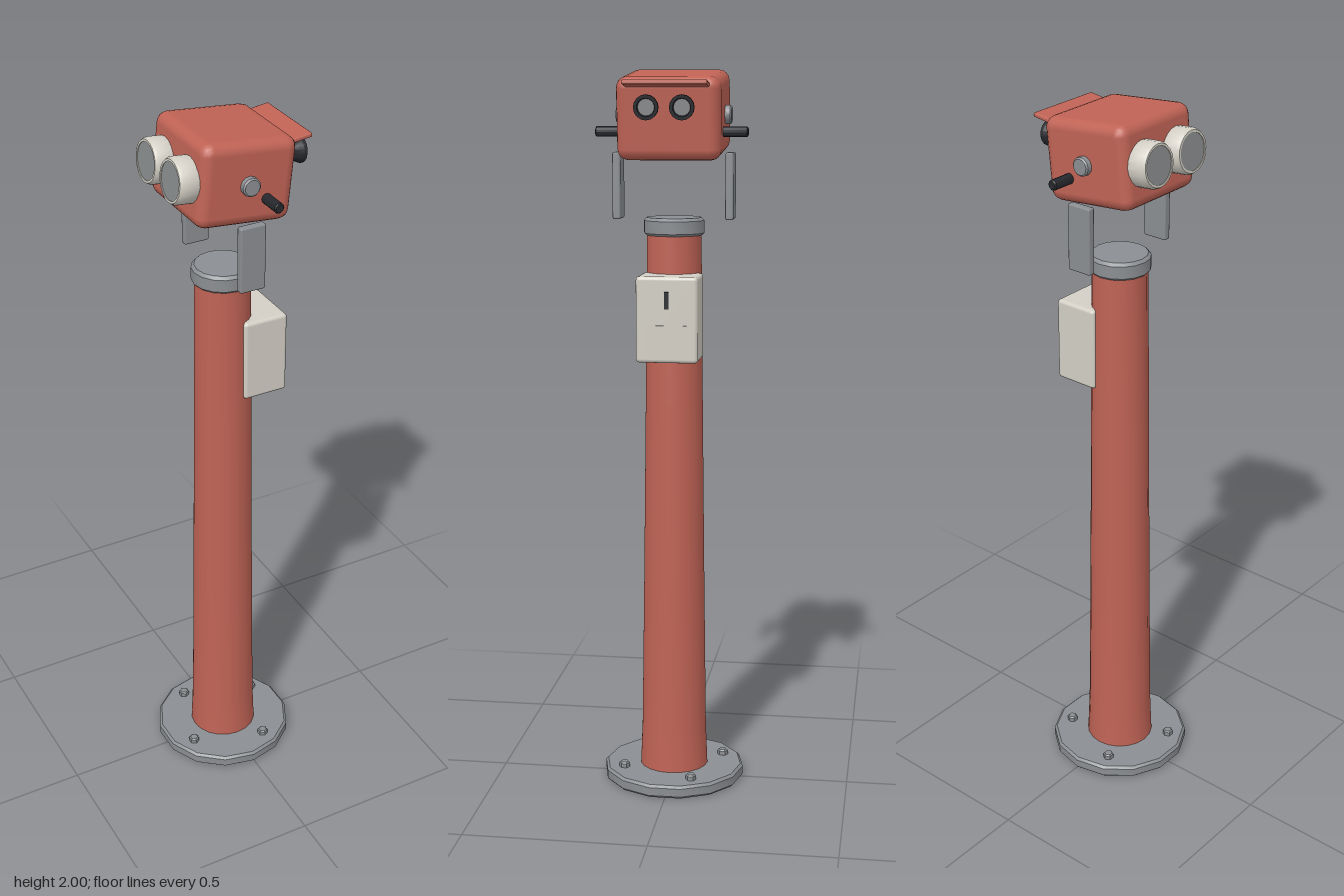
import * as THREE from 'three';
import { toCreasedNormals } from 'three/addons/utils/BufferGeometryUtils.js';
import { RoundedBoxGeometry } from 'three/addons/geometries/RoundedBoxGeometry.js';

const mat = (name, color) => {
  const m = new THREE.MeshStandardMaterial({ color });
  m.name = name;
  return m;
};

export function createModel() {
  const red = mat('red paint', 0xc06355);
  const grey = mat('grey metal', 0x8b8e92);
  const cream = mat('cream enamel', 0xd3cfc5);
  const black = mat('black rubber', 0x26282d);
  const glass = mat('lens glass', 0x8a8d8e);

  const model = new THREE.Group();
  model.name = 'coinOperatedBinoculars';

  const add = (parent, name, geometry, material, x = 0, y = 0, z = 0) => {
    const mesh = new THREE.Mesh(geometry, material);
    mesh.name = name;
    mesh.position.set(x, y, z);
    parent.add(mesh);
    return mesh;
  };
  // Turned part from [radius, height] pairs, with sharp rims
  const turned = (points, sides = 14) => toCreasedNormals(
    new THREE.LatheGeometry(points.map(([r, h]) => new THREE.Vector2(r, h)), sides), 0.55);
  const rounded = (w, h, d, r, n = 1) => new RoundedBoxGeometry(w, h, d, n, r);

  const cx = -0.004; // axis of the post

  // Floor plate with four bolts
  add(model, 'basePlate', turned([[0, 0], [0.193, 0], [0.2, 0.007], [0.2, 0.03], [0.193, 0.037], [0, 0.037]]), grey, cx);
  const bolt = turned([[0.015, 0], [0.015, 0.012], [0.011, 0.016], [0, 0.016]], 6);
  for (let i = 0; i < 4; i++) {
    const a = 1.11 + i * Math.PI / 2;
    add(model, 'baseBolt', bolt, grey, cx + 0.15 * Math.cos(a), 0.037, 0.15 * Math.sin(a));
  }

  // Tapered post and its cap
  add(model, 'post', turned([[0.097, 0.035], [0.092, 0.16], [0.086, 0.6], [0.08, 1.1], [0.075, 1.57]], 20), red, cx);
  add(model, 'postCap', turned([[0, 1.557], [0.077, 1.557], [0.083, 1.563], [0.083, 1.597], [0.075, 1.605], [0, 1.605]], 16), grey, cx);

  // Coin box on the post
  const coinBox = new THREE.Group();
  coinBox.name = 'coinBox';
  coinBox.position.set(0.083, 1.34, 0);
  model.add(coinBox);
  add(coinBox, 'coinBoxBody', rounded(0.128, 0.232, 0.168, 0.01, 2), cream);
  add(coinBox, 'coinSlot', new THREE.BoxGeometry(0.004, 0.046, 0.012), black, 0.0645, 0.053);
  add(coinBox, 'coinReturnPanel', new THREE.BoxGeometry(0.006, 0.062, 0.11), cream, 0.064, -0.045);

  // Fork plates beside the head
  for (const s of [1, -1]) {
    add(model, 'forkPlate', rounded(0.072, 0.18, 0.022, 0.005), grey, cx, 1.69, s * 0.154);
  }

  // Tilted head
  const head = new THREE.Group();
  head.name = 'head';
  head.position.set(cx, 1.88, 0);
  head.rotation.z = -0.1;
  model.add(head);
  add(head, 'headHousing', rounded(0.265, 0.22, 0.279, 0.03, 2), red);

  // Sun visor over the eyepieces
  const visor = add(head, 'visor', rounded(0.058, 0.012, 0.225, 0.004), red, 0.155, 0.096, 0);
  visor.rotation.z = 0.23;

  // Handle rods and pivot hubs on both sides
  const rod = turned([[0, 0.1], [0.014, 0.1], [0.014, 0.203], [0.011, 0.206], [0, 0.206]], 12);
  const hub = turned([[0, 0.12], [0.025, 0.12], [0.025, 0.153], [0.021, 0.157], [0, 0.157]], 12);

  // Objective and eyepiece parts, measured outward from the head's centre
  const objective = turned([[0.053, 0.12], [0.06, 0.132], [0.06, 0.172], [0.055, 0.182], [0.049, 0.182], [0.049, 0.174]], 20);
  const objectiveLens = new THREE.CylinderGeometry(0.05, 0.05, 0.006, 20);
  const stem = turned([[0.02, 0.12], [0.02, 0.17]], 14);
  const cup = turned([[0, 0.162], [0.023, 0.162], [0.026, 0.172], [0.033, 0.187], [0.033, 0.196], [0.024, 0.196], [0.02, 0.182]], 16);
  const eyeLens = new THREE.CylinderGeometry(0.022, 0.022, 0.004, 16);

  for (const s of [1, -1]) {
    add(head, 'handleRod', rod, black, 0.053, -0.04).rotation.x = s * Math.PI / 2;
    add(head, 'pivotHub', hub, grey).rotation.x = s * Math.PI / 2;
    add(head, 'objectiveBarrel', objective, cream, 0, 0.003, s * 0.067).rotation.z = Math.PI / 2;
    add(head, 'objectiveLens', objectiveLens, glass, -0.177, 0.003, s * 0.067).rotation.z = Math.PI / 2;
    add(head, 'eyepieceStem', stem, grey, 0, 0.038, s * 0.047).rotation.z = -Math.PI / 2;
    add(head, 'eyecup', cup, black, 0, 0.038, s * 0.047).rotation.z = -Math.PI / 2;
    add(head, 'eyepieceLens', eyeLens, glass, 0.187, 0.038, s * 0.047).rotation.z = -Math.PI / 2;
  }

  return model;
}
